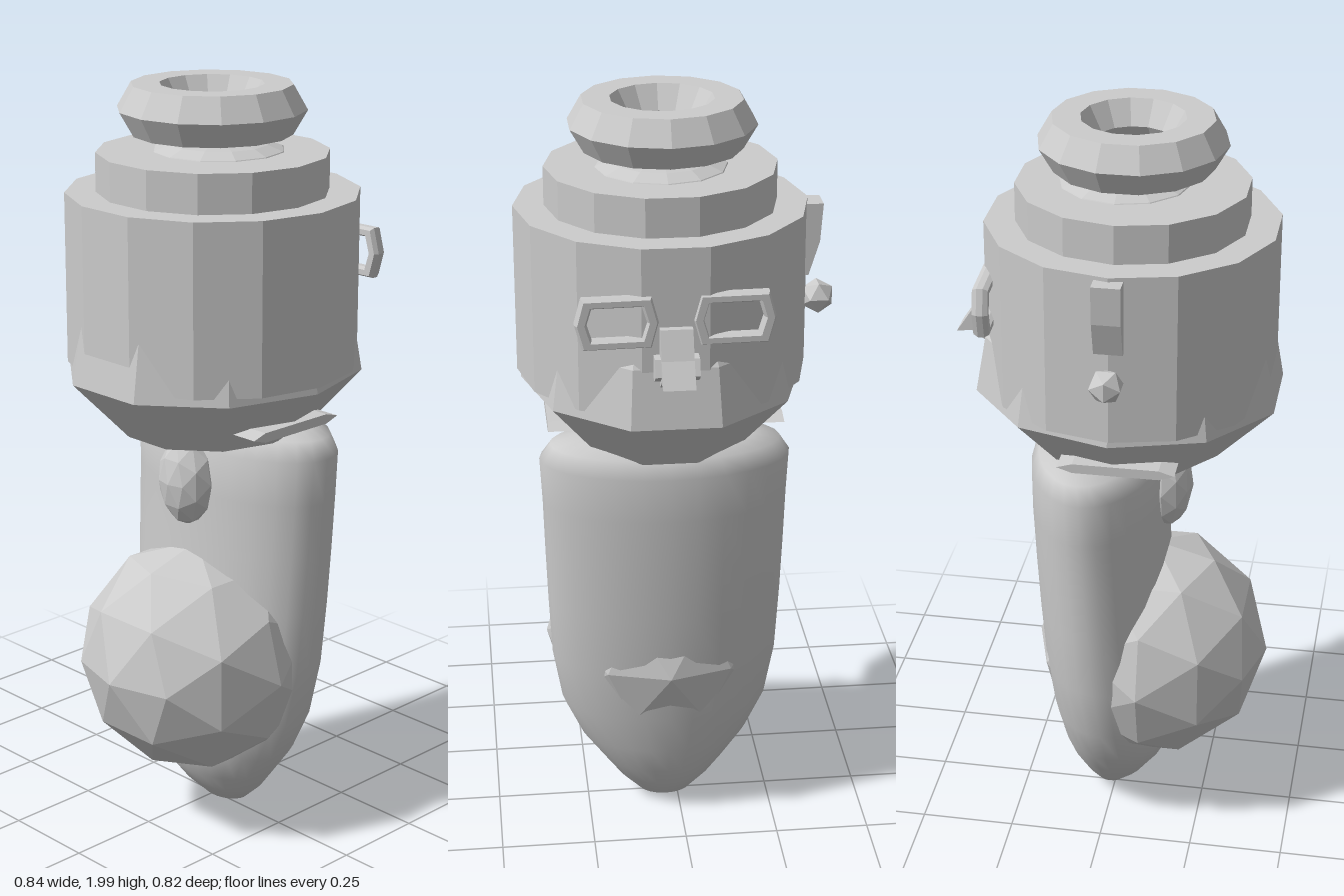
import * as THREE from 'three';
import { mergeVertices } from 'three/addons/utils/BufferGeometryUtils.js';

const CX = -0.04, CZ = 0.036; // axis of the head

export function createModel() {
  const model = new THREE.Group();
  const flat = new THREE.MeshStandardMaterial({ color: 0xcccccc, flatShading: true });
  const smooth = new THREE.MeshStandardMaterial({ color: 0xcccccc });

  function add(name, geometry, x, y, z, material = flat) {
    const mesh = new THREE.Mesh(geometry, material);
    mesh.name = name;
    mesh.position.set(x, y, z);
    model.add(mesh);
    return mesh;
  }

  // Outline extruded to a width, centred on its depth
  function slab(points, width) {
    const shape = new THREE.Shape(points.map(p => new THREE.Vector2(...p)));
    return new THREE.ExtrudeGeometry(shape, { depth: width, bevelEnabled: false }).translate(0, 0, -width / 2);
  }

  // Hat: tall band, smaller tier, low dome and floating ring
  add('headBand', new THREE.CylinderGeometry(0.375, 0.375, 0.44, 14), CX, 1.51, CZ);
  add('upperTier', new THREE.CylinderGeometry(0.296, 0.296, 0.14, 14), CX, 1.76, CZ);
  add('crownDome', new THREE.SphereGeometry(0.18, 12, 8).scale(1, 0.25, 1), CX + 0.02, 1.815, CZ);
  add('topRing', new THREE.TorusGeometry(0.168, 0.072, 6, 14).rotateX(Math.PI / 2), CX, 1.936, CZ - 0.004);

  // Faceted jaw, slightly narrower front to back
  const jaw = [[0, 1.07], [0.25, 1.11], [0.405, 1.27], [0.378, 1.42], [0.25, 1.6], [0, 1.66]]
    .map(p => new THREE.Vector2(...p));
  add('jaw', new THREE.LatheGeometry(jaw, 10).scale(1, 1, 0.905), CX + 0.005, 0, CZ);

  // Thin lips at the front and back of the jaw
  for (const side of [1, -1]) {
    add('lip', slab([[-0.15, 0], [-0.11, -0.013], [0.11, -0.013], [0.15, 0], [0.11, 0.012], [-0.11, 0.012]], 0.08),
      CX - 0.005, 1.17, CZ + side * 0.265);
  }

  // Body: oval cross-sections [y, left x, right x, half depth]
  const sections = [
    [0.01, 0.01, 0.012, 0.002], [0.03, -0.04, 0.06, 0.07], [0.08, -0.09, 0.09, 0.125],
    [0.14, -0.135, 0.125, 0.17], [0.22, -0.165, 0.148, 0.23], [0.33, -0.17, 0.17, 0.28],
    [0.48, -0.16, 0.19, 0.305], [0.65, -0.148, 0.203, 0.313], [0.8, -0.14, 0.212, 0.318],
    [0.95, -0.132, 0.219, 0.322], [1.07, -0.13, 0.22, 0.328], [1.115, -0.09, 0.2, 0.3],
    [1.14, -0.02, 0.16, 0.22], [1.145, 0.06, 0.062, 0.002],
  ];
  let body = new THREE.LatheGeometry(sections.map(s => new THREE.Vector2(1, s[0])), 28);
  const pos = body.attributes.position;
  for (let i = 0; i < pos.count; i++) {
    const [, left, right, depth] = sections[i % sections.length];
    pos.setX(i, (left + right) / 2 + pos.getX(i) * (right - left) / 2);
    pos.setZ(i, pos.getZ(i) * depth);
  }
  body.deleteAttribute('uv');
  body.deleteAttribute('normal');
  body = mergeVertices(body);
  body.computeVertexNormals();
  add('body', body, 0, 0, CZ, smooth);

  // Large faceted bulb through the body and the small knob above it
  add('bulb', new THREE.IcosahedronGeometry(0.315, 1), -0.1, 0.482, CZ);
  add('knob', new THREE.IcosahedronGeometry(0.12, 1).scale(0.62, 1.05, 0.7), -0.13, 0.98, CZ);

  // Spectacles on the left side of the head
  const glasses = new THREE.Group();
  glasses.name = 'glasses';
  for (const side of [1, -1]) {
    // Six-sided rim: flat top and bottom, points at the ends
    const rim = [[-0.1, 0], [-0.083, -0.063], [0.083, -0.063], [0.1, 0], [0.083, 0.063], [-0.083, 0.063]];
    const shape = new THREE.Shape(rim.map(p => new THREE.Vector2(...p)));
    shape.holes.push(new THREE.Path(rim.map(p => new THREE.Vector2(p[0] * 0.76, p[1] * 0.68))));
    const lens = new THREE.Mesh(new THREE.ExtrudeGeometry(shape, {
      depth: 0.016, bevelThickness: 0.012, bevelSize: 0.006, bevelOffset: -0.003, bevelSegments: 1,
    }), flat);
    lens.name = 'lensRim';
    lens.geometry.translate(0, 0, -0.008).rotateY(Math.PI / 2);
    lens.position.z = side * 0.144;
    glasses.add(lens);
  }
  glasses.position.set(0.314, 1.545, CZ);
  glasses.rotation.y = 0.035;
  model.add(glasses);

  // Hooked nose with wider nostrils
  add('nose', slab([[0.31, 1.53], [0.345, 1.53], [0.375, 1.46], [0.415, 1.4], [0.375, 1.405], [0.34, 1.38], [0.31, 1.38]], 0.08),
    0, 0, CZ);
  add('nostrils', slab([[0.32, 1.46], [0.36, 1.46], [0.378, 1.42], [0.35, 1.4], [0.32, 1.4]], 0.11), 0, 0, CZ);

  // Rear tab with a bead hanging under it
  add('rearTab', slab([[0.31, 1.72], [0.375, 1.72], [0.368, 1.62], [0.34, 1.53], [0.31, 1.53]], 0.072)
    .rotateY(Math.PI / 2), CX, 0, 0);
  add('bead', new THREE.IcosahedronGeometry(0.046, 0), CX, 1.46, -0.37);

  return model;
}
